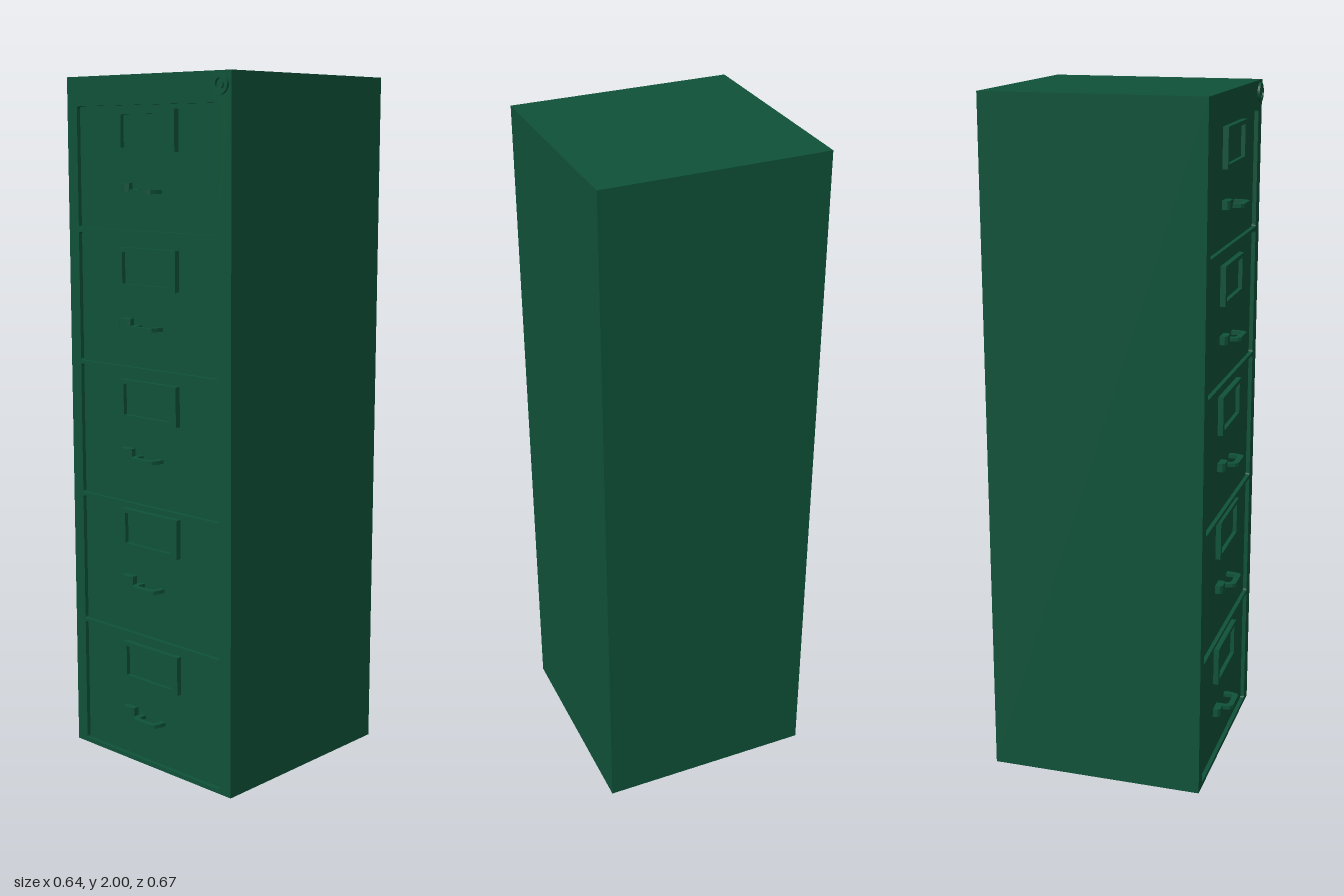
import * as THREE from 'three';

const material = new THREE.MeshStandardMaterial({ color: 0x0f5239, side: THREE.DoubleSide });

const HALF_W = 0.32, HEIGHT = 2, BACK = -0.335, FRONT = 0.3;
const RECESS = 0.012, PANEL = FRONT - RECESS;

// bottom, top and handle height of each drawer
const DRAWERS = [
  [0.013, 0.388, 0.143],
  [0.397, 0.78, 0.548],
  [0.79, 1.178, 0.928],
  [1.188, 1.563, 1.304],
  [1.574, 1.918, 1.683],
];

function add(parent, name, geometry, x = 0, y = 0, z = 0) {
  const mesh = new THREE.Mesh(geometry, material);
  mesh.name = name;
  mesh.position.set(x, y, z);
  parent.add(mesh);
  return mesh;
}

// Rectangle with small rounded corners
function roundedRect(x0, y0, x1, y1, r, Type = THREE.Shape) {
  const s = new Type();
  s.moveTo(x0 + r, y0);
  s.lineTo(x1 - r, y0);
  s.quadraticCurveTo(x1, y0, x1, y0 + r);
  s.lineTo(x1, y1 - r);
  s.quadraticCurveTo(x1, y1, x1 - r, y1);
  s.lineTo(x0 + r, y1);
  s.quadraticCurveTo(x0, y1, x0, y1 - r);
  s.lineTo(x0, y0 + r);
  s.quadraticCurveTo(x0, y0, x0 + r, y0);
  return s;
}

function rect(x0, y0, x1, y1, Type = THREE.Shape) {
  return new Type([[x0, y0], [x1, y0], [x1, y1], [x0, y1]].map(p => new THREE.Vector2(...p)));
}

function polygon(points) {
  return new THREE.Shape(points.map(p => new THREE.Vector2(...p)));
}

// Plan outline in x and z, given an even thickness about y = 0
function planExtrude(points, thickness) {
  const g = new THREE.ExtrudeGeometry(polygon(points), { depth: thickness, bevelEnabled: false });
  g.translate(0, 0, -thickness / 2);
  g.rotateX(Math.PI / 2);
  return g;
}

// Inward-facing strip of sheet metal joining the front frame to a recessed panel
function recessWall(outline) {
  const pts = outline.getPoints(4);
  const pos = [];
  for (let i = 0; i < pts.length - 1; i++) {
    const a = pts[i], b = pts[i + 1];
    pos.push(a.x, a.y, FRONT, b.x, b.y, PANEL, a.x, a.y, PANEL);
    pos.push(a.x, a.y, FRONT, b.x, b.y, FRONT, b.x, b.y, PANEL);
  }
  const g = new THREE.BufferGeometry();
  g.setAttribute('position', new THREE.Float32BufferAttribute(pos, 3));
  g.computeVertexNormals();
  return g;
}

function makeDrawer([bottom, top, handleY]) {
  const drawer = new THREE.Group();
  drawer.name = 'drawer';

  const outline = roundedRect(-0.28, bottom, 0.277, top, 0.008);
  add(drawer, 'drawerPanel', new THREE.ShapeGeometry(outline, 4), 0, 0, PANEL);
  add(drawer, 'drawerRecess', recessWall(outline));

  // Label holder: raised border around a flat card
  const border = rect(-0.112, -0.057, 0.115, 0.057);
  border.holes.push(rect(-0.095, -0.045, 0.092, 0.045, THREE.Path));
  add(drawer, 'labelHolder',
    new THREE.ExtrudeGeometry(border, { depth: 0.304 - PANEL, bevelEnabled: false }),
    0, handleY + 0.165, PANEL);
  add(drawer, 'labelCard', new THREE.PlaneGeometry(0.187, 0.09), -0.0015, handleY + 0.165, PANEL + 0.004);

  // Pull handle, a flat bent bar
  add(drawer, 'handle', planExtrude([
    [-0.05, PANEL], [-0.049, 0.307], [-0.044, 0.326], [-0.034, 0.334],
    [0.034, 0.334], [0.044, 0.326], [0.049, 0.307], [0.05, PANEL],
    [0.032, PANEL], [0.032, 0.312], [0.024, 0.317],
    [-0.024, 0.317], [-0.032, 0.312], [-0.032, PANEL],
  ], 0.011), 0, handleY, 0);

  // Thumb latch beside the handle
  add(drawer, 'latch', planExtrude([
    [-0.109, PANEL], [-0.109, 0.303], [-0.101, 0.31], [-0.074, 0.31], [-0.065, 0.303], [-0.065, PANEL],
  ], 0.025), 0, handleY + 0.01, 0);
  return drawer;
}

export function createModel() {
  const group = new THREE.Group();
  group.name = 'filingCabinet';

  // Sheet body without bottom and front
  const depth = FRONT - BACK;
  const shell = new THREE.BoxGeometry(HALF_W * 2, HEIGHT, depth);
  const index = Array.from(shell.index.array);
  shell.setIndex([...index.slice(0, 18), ...index.slice(30)]);
  shell.clearGroups();
  add(group, 'body', shell, 0, HEIGHT / 2, (FRONT + BACK) / 2);

  // Front frame with a hole for each drawer
  const frame = rect(-HALF_W, 0, HALF_W, HEIGHT);
  for (const [bottom, top] of DRAWERS) {
    frame.holes.push(roundedRect(-0.28, bottom, 0.277, top, 0.008, THREE.Path));
  }
  add(group, 'frontFrame', new THREE.ShapeGeometry(frame, 4), 0, 0, FRONT);

  for (const d of DRAWERS) group.add(makeDrawer(d));

  // Round lock in the upper corner
  const lock = new THREE.Group();
  lock.name = 'lock';
  lock.position.set(0.284, 1.965, FRONT);
  const ring = new THREE.Shape().absarc(0, 0, 0.027, 0, Math.PI * 2);
  ring.holes.push(new THREE.Path().absarc(0, 0, 0.016, 0, Math.PI * 2, true));
  add(lock, 'lockRing', new THREE.ExtrudeGeometry(ring, { depth: 0.007, bevelEnabled: false, curveSegments: 20 }));
  add(lock, 'lockCore', new THREE.CylinderGeometry(0.011, 0.011, 0.006, 20).rotateX(Math.PI / 2), 0, 0, 0.003);
  group.add(lock);

  return group;
}
